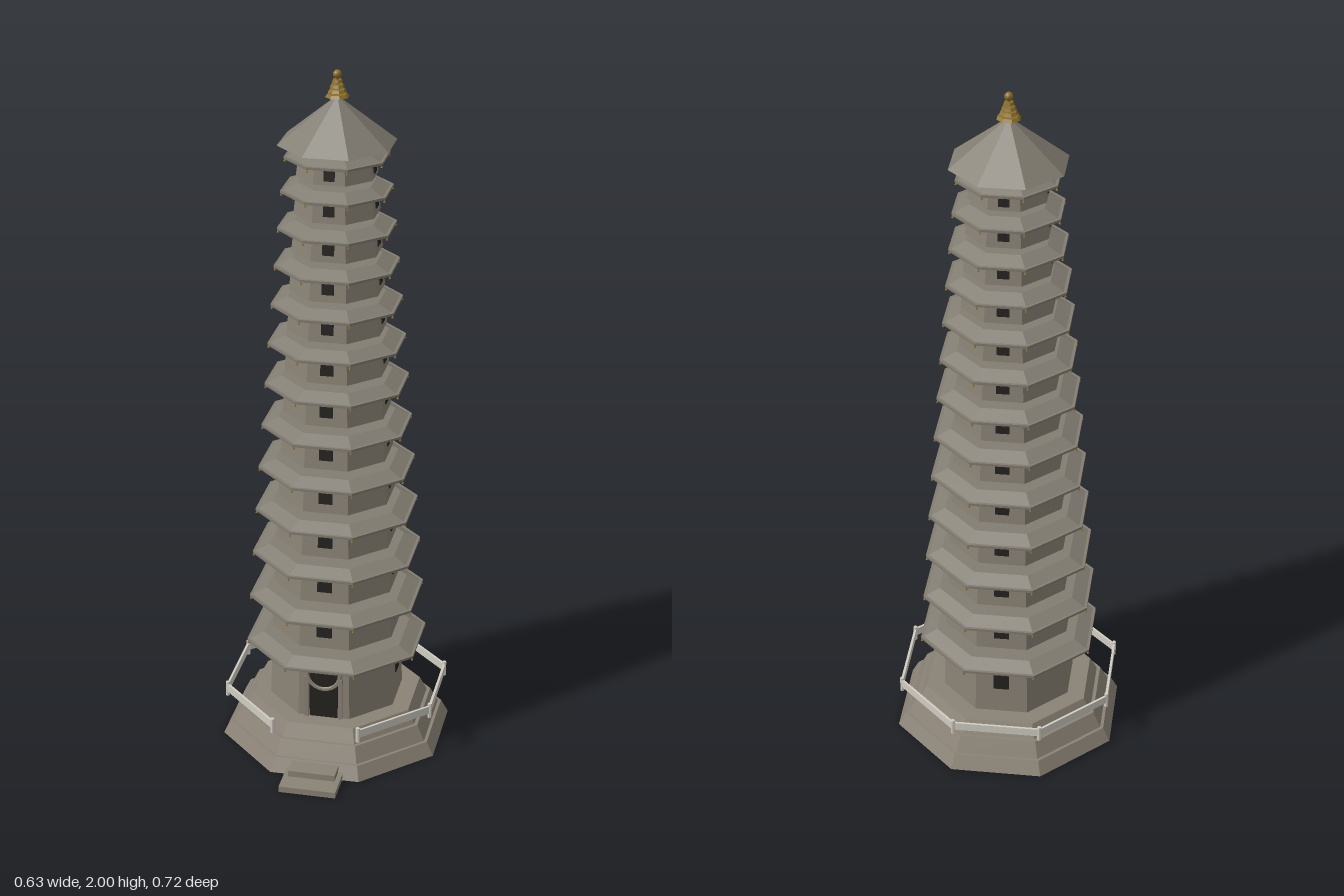
import * as THREE from 'three';

const mat = (name, color, flat = true) => {
  const m = new THREE.MeshStandardMaterial({ color, flatShading: flat });
  m.name = name;
  return m;
};

export function createModel() {
  const wall = mat('wall stone', 0x8a8275);
  const tile = mat('roof stone', 0x827d72);
  const pale = mat('pale railing', 0xd0ccc2);
  const dark = mat('dark opening', 0x24221f);
  const gold = mat('aged gold', 0x8a6d2a);

  const model = new THREE.Group();
  model.name = 'pagoda';
  const tower = new THREE.Group();
  tower.name = 'tower';
  tower.position.z = -0.05;
  model.add(tower);

  const K = Math.cos(Math.PI / 8);
  const add = (parent, name, geo, material, x = 0, y = 0, z = 0) => {
    const m = new THREE.Mesh(geo, material);
    m.name = name;
    m.position.set(x, y, z);
    parent.add(m);
    return m;
  };
  // Octagonal frustum, sized by the distance from its axis to its flat sides
  const octagon = (name, bottom, top, y0, y1, material) => {
    const g = new THREE.CylinderGeometry(top / K, bottom / K, y1 - y0, 8).rotateY(Math.PI / 8);
    return add(tower, name, g, material, 0, (y0 + y1) / 2, 0);
  };
  const lerp = THREE.MathUtils.lerp;

  // Stepped base
  octagon('baseLower', 0.313, 0.293, 0, 0.04, wall);
  octagon('baseMiddle', 0.284, 0.262, 0.04, 0.085, wall);
  octagon('baseUpper', 0.252, 0.232, 0.085, 0.125, wall);

  // Entrance steps
  add(model, 'lowerStep', new THREE.BoxGeometry(0.164, 0.018, 0.14), wall, 0, 0.009, 0.29);
  add(model, 'upperStep', new THREE.BoxGeometry(0.136, 0.036, 0.09), wall, 0, 0.018, 0.257);

  // Railing: a post at each corner, rails on every side but the front
  const railR = 0.325;
  const side = 2 * railR * Math.sin(Math.PI / 8);
  for (let i = 0; i < 8; i++) {
    const a = (i + 0.5) * Math.PI / 4;
    add(tower, 'railPost', new THREE.CylinderGeometry(0.006, 0.006, 0.045, 8), pale,
      Math.sin(a) * railR, 0.1485, Math.cos(a) * railR);
    if (i === 0) continue;
    const b = i * Math.PI / 4;
    const rail = add(tower, 'rail', new THREE.BoxGeometry(side, 0.024, 0.007), pale,
      Math.sin(b) * railR * K, 0.152, Math.cos(b) * railR * K);
    rail.rotation.y = b;
  }

  // Thirteen storeys, each with windows, an eave and corner bells
  const eaves = [0.305, 0.45, 0.59, 0.725, 0.857, 0.985, 1.11, 1.23, 1.345, 1.457, 1.565, 1.67, 1.765];
  eaves.forEach((e, i) => {
    const t = i / 12;
    const y0 = i ? eaves[i - 1] + 0.042 : 0.125;
    const bottom = lerp(0.182, 0.105, t);
    const top = bottom - 0.007;
    octagon('storey', bottom, top, y0, e, wall);

    const h = lerp(0.058, 0.036, t);
    const wy = i ? e - lerp(0.043, 0.024, t) : 0.232;
    const wr = lerp(bottom, top, (wy - y0) / (e - y0));
    for (let k = i ? 0 : 1; k < 4; k++) {
      const holder = new THREE.Group();
      holder.name = 'windowSide';
      holder.rotation.y = k * Math.PI / 2;
      tower.add(holder);
      const w = add(holder, 'window', new THREE.BoxGeometry(lerp(0.045, 0.03, t), h, 0.006), dark, 0, wy, wr);
      w.rotation.x = -Math.atan(0.007 / (e - y0));
    }

    const r = lerp(0.245, 0.135, t);
    octagon('eaveLip', r, r, e - 0.003, e + 0.004, tile);
    octagon('eaveRoof', r - 0.008, r - 0.045, e + 0.004, e + 0.023, tile);
    for (let k = 0; k < 8; k++) {
      const a = (k + 0.5) * Math.PI / 4;
      add(tower, 'cornerBell', new THREE.ConeGeometry(0.004, 0.008, 6), gold,
        Math.sin(a) * (r / K - 0.003), e - 0.006, Math.cos(a) * (r / K - 0.003));
    }
  });

  // Doorway with a round opening above it
  const door = new THREE.Group();
  door.name = 'doorway';
  door.position.z = 0.18;
  tower.add(door);
  add(door, 'doorOpening', new THREE.BoxGeometry(0.082, 0.11, 0.009), dark, 0, 0.18, 0);
  add(door, 'archOpening', new THREE.CylinderGeometry(0.046, 0.046, 0.009, 24).rotateX(Math.PI / 2), dark, 0, 0.265, 0);
  add(door, 'archRing', new THREE.TorusGeometry(0.048, 0.007, 6, 24), wall, 0, 0.265, 0.003);
  for (const s of [-1, 1])
    add(door, 'doorJamb', new THREE.BoxGeometry(0.012, 0.13, 0.016), wall, s * 0.049, 0.19, 0.002);

  // Pointed top roof
  octagon('topRoof', 0.152, 0.004, 1.8, 1.927, tile);

  // Ringed finial
  add(tower, 'finialRod', new THREE.CylinderGeometry(0.004, 0.006, 0.07, 8), gold, 0, 1.95, 0);
  [0.031, 0.024, 0.019, 0.014].forEach((r, i) =>
    octagon('finialRing', r, r * 0.8, 1.927 + i * 0.013, 1.935 + i * 0.013, gold));
  add(tower, 'finialBall', new THREE.SphereGeometry(0.012, 12, 8), gold, 0, 1.988, 0);

  return model;
}
